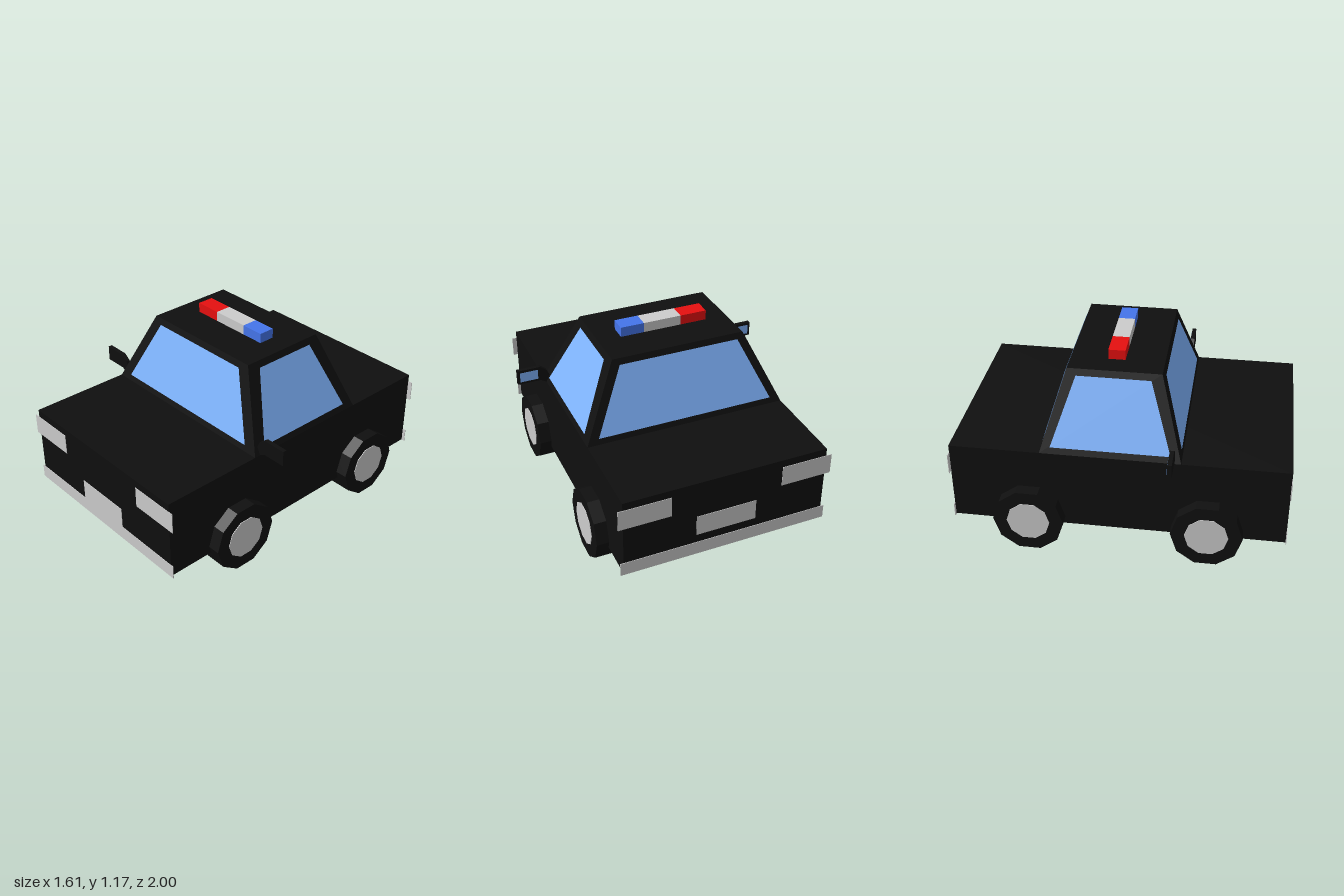
import * as THREE from 'three';

const paint = (color) => new THREE.MeshStandardMaterial({ color, flatShading: true, side: THREE.DoubleSide });

export function createModel() {
  const car = new THREE.Group();
  car.name = 'patrolCar';
  const black = paint(0x0f0f0f), grey = paint(0xcccccc), glass = paint(0x80b5ff);
  const red = paint(0xe61010), blue = paint(0x4575ea);

  const add = (name, geometry, material) => {
    const mesh = new THREE.Mesh(geometry, material);
    mesh.name = name;
    car.add(mesh);
    return mesh;
  };
  // Box given by its limits on each axis
  const box = (name, [x0, x1], [y0, y1], [z0, z1], material) =>
    add(name, new THREE.BoxGeometry(x1 - x0, y1 - y0, z1 - z0)
      .translate((x0 + x1) / 2, (y0 + y1) / 2, (z0 + z1) / 2), material);
  // Flat four-cornered pane, corners anticlockwise from outside
  const pane = (name, corners, material) => {
    const g = new THREE.BufferGeometry();
    g.setAttribute('position', new THREE.Float32BufferAttribute(corners.flat(), 3));
    g.setIndex([0, 1, 2, 0, 2, 3]);
    g.computeVertexNormals();
    return add(name, g, material);
  };

  // Body
  box('body', [-0.623, 0.623], [0.153, 0.653], [-0.997, 0.997], black);

  // Cabin: a box whose top is drawn in
  const low = 0.653, high = 1.11;
  const cabin = new THREE.BoxGeometry(1, 1, 1);
  const p = cabin.attributes.position;
  for (let i = 0; i < p.count; i++) {
    const top = p.getY(i) > 0, front = p.getZ(i) > 0;
    p.setXYZ(i, Math.sign(p.getX(i)) * (top ? 0.41 : 0.623), top ? high : low,
      front ? (top ? 0.23 : 0.368) : (top ? -0.32 : -0.457));
  }
  cabin.computeVertexNormals();
  add('cabin', cabin, black);

  // Windows lie just outside the sloping cabin walls
  const slope = (a, b, y) => a + (b - a) * (y - low) / (high - low);
  const gap = 0.005, y0 = 0.69, y1 = 1.075;
  const frontZ = (y) => slope(0.368, 0.23, y) + gap;
  const backZ = (y) => slope(-0.457, -0.32, y) - gap;
  const sideX = (y) => slope(0.623, 0.41, y) + gap;
  pane('windscreen', [[-0.53, y0, frontZ(y0)], [0.53, y0, frontZ(y0)],
    [0.35, y1, frontZ(y1)], [-0.35, y1, frontZ(y1)]], glass);
  pane('rearWindow', [[0.55, y0, backZ(y0)], [-0.55, y0, backZ(y0)],
    [-0.37, y1, backZ(y1)], [0.37, y1, backZ(y1)]], glass);
  pane('leftWindow', [[sideX(y0), y0, 0.285], [sideX(y0), y0, -0.375],
    [sideX(y1), y1, -0.245], [sideX(y1), y1, 0.158]], glass);
  pane('rightWindow', [[-sideX(y0), y0, -0.395], [-sideX(y0), y0, 0.305],
    [-sideX(y1), y1, 0.17], [-sideX(y1), y1, -0.265]], glass);

  // Roof light bar
  const barY = [1.11, 1.17], barZ = [-0.1, 0];
  box('redLight', [-0.275, -0.11], barY, barZ, red);
  box('lightBarCentre', [-0.11, 0.125], barY, barZ, grey);
  box('blueLight', [0.125, 0.27], barY, barZ, blue);

  // Lamps, bumpers and plates as thin panels on both ends
  for (const [end, z, plateY] of [['front', [0.996, 1], [0.235, 0.365]], ['rear', [-1, -0.996], [0.29, 0.42]]]) {
    box(end + 'Bumper', [-0.643, 0.643], [0.15, 0.235], z, grey);
    box(end + 'Plate', [-0.185, 0.185], plateY, z, grey);
    box(end + 'LeftLamp', [0.337, 0.652], [0.477, 0.605], z, grey);
    box(end + 'RightLamp', [-0.658, -0.343], [0.477, 0.605], z, grey);
  }

  // Ten-sided wheels with hubcaps, flat edge on the ground
  const disc = (r, width) => new THREE.CylinderGeometry(r, r, width, 10).rotateZ(Math.PI / 2);
  for (const [side, s, axles] of [['left', 1, [0.505, -0.56]], ['right', -1, [0.533, -0.53]]]) {
    axles.forEach((z, i) => {
      const name = side + (i ? 'Rear' : 'Front');
      add(name + 'Tyre', disc(0.213, 0.148), black).position.set(s * 0.624, 0.2026, z);
      add(name + 'Hubcap', disc(0.13, 0.02), grey).position.set(s * 0.692, 0.2026, z);
    });

    // Door mirror: bent arm and housing cut from one outline, glass facing back
    const outline = [[0.6, 0.64], [0.62, 0.652], [0.66, 0.675], [0.805, 0.675],
      [0.805, 0.77], [0.66, 0.77], [0.617, 0.738], [0.6, 0.7]];
    const shape = new THREE.Shape(outline.map(([x, y]) => new THREE.Vector2(s * x, y)));
    add(side + 'Mirror', new THREE.ExtrudeGeometry(shape, { depth: 0.025, bevelEnabled: false })
      .translate(0, 0, 0.305), black);
    const [a, b] = s > 0 ? [0.79, 0.675] : [-0.675, -0.79];
    pane(side + 'MirrorGlass', [[a, 0.69, 0.302], [b, 0.69, 0.302], [b, 0.755, 0.302], [a, 0.755, 0.302]], glass);
  }
  return car;
}
